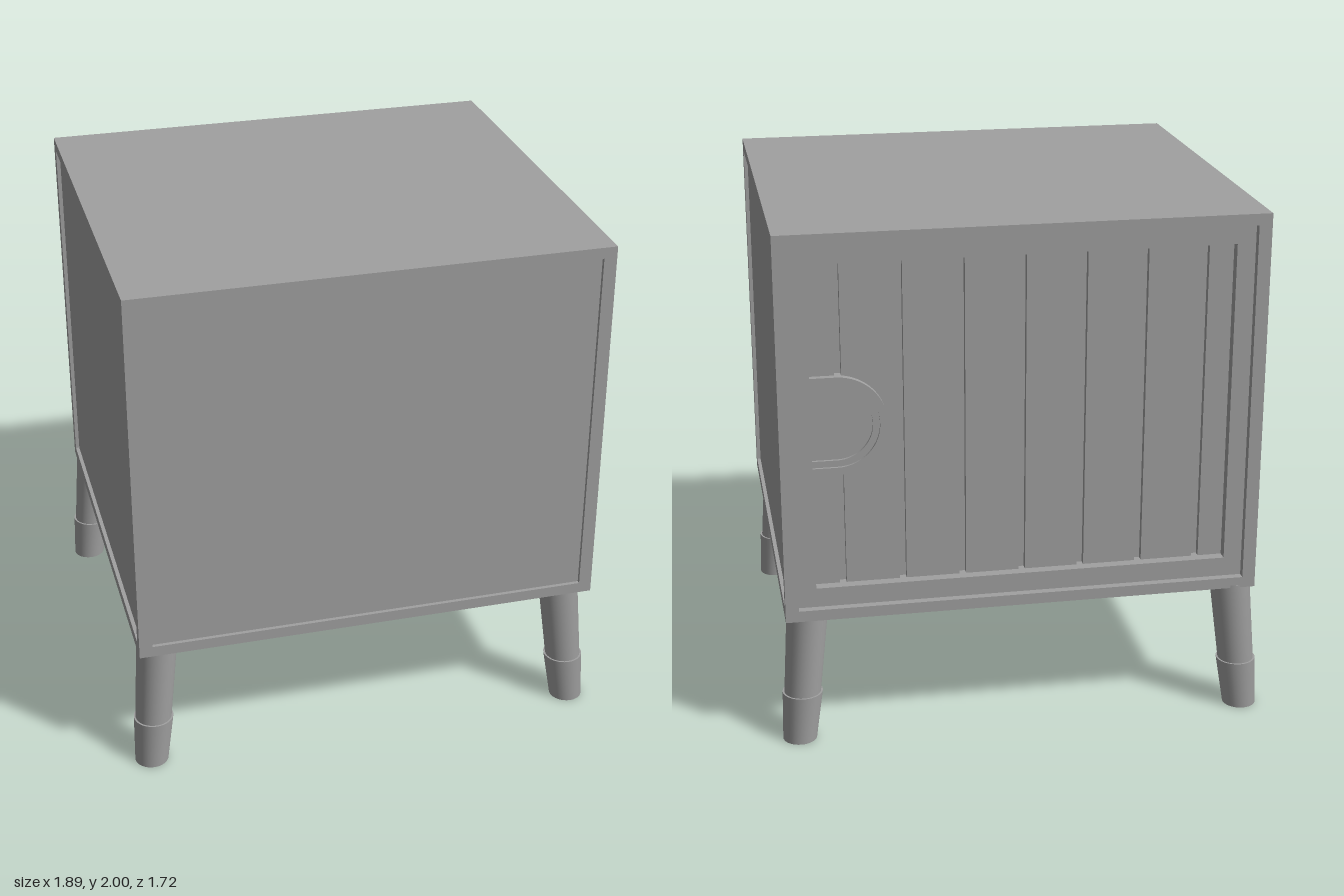
import * as THREE from 'three';

const W = 1.82, D = 1.64, Y0 = 0.51, Y1 = 2;   // cabinet body
const SLAB = 0.043, POST_X = 0.05, POST_Z = 0.045, RECESS = 0.015;

export function createModel() {
  const model = new THREE.Group();
  model.name = 'cabinet';
  const grey = new THREE.MeshStandardMaterial({ color: 0xa0a0a0 });
  grey.name = 'grey';

  const body = new THREE.Group();
  body.name = 'body';
  body.position.set(0.011, 0, -0.004);
  body.rotation.y = 0.0225;
  model.add(body);

  const add = (parent, name, geometry) => {
    const mesh = new THREE.Mesh(geometry, grey);
    mesh.name = name;
    parent.add(mesh);
    return mesh;
  };
  const box = (name, x0, x1, y0, y1, z0, z1) =>
    add(body, name, new THREE.BoxGeometry(x1 - x0, y1 - y0, z1 - z0))
      .position.set((x0 + x1) / 2, (y0 + y1) / 2, (z0 + z1) / 2);

  const hx = W / 2, hz = D / 2, low = Y0 + SLAB, high = Y1 - SLAB;
  const ix = hx - POST_X, back = -hz;

  // Outer shell: top, bottom, corner posts and recessed panels
  box('top', -hx, hx, high, Y1, -hz, hz);
  box('bottom', -hx, hx, Y0, low, -hz, hz);
  for (const sx of [-1, 1]) {
    for (const sz of [-1, 1]) {
      const x = sx * (hx - POST_X / 2), z = sz * (hz - POST_Z / 2);
      box('cornerPost', x - POST_X / 2, x + POST_X / 2, low, high, z - POST_Z / 2, z + POST_Z / 2);
    }
    const px = sx * (hx - RECESS - 0.0175);
    box('sidePanel', px - 0.0175, px + 0.0175, low, high, -hz + POST_Z, hz - POST_Z);
  }
  box('frontPanel', -ix, ix, low, high, hz - 0.05, hz - RECESS);

  // Door set into the back: backing, rails, stiles and vertical slats
  const railFace = back + 0.03, slatFace = back + 0.07, backing = back + 0.095;
  const railLow = low + 0.075, railHigh = high - 0.075, stile = 0.07;
  box('doorBacking', -ix, ix, low, high, backing, backing + 0.02);
  box('doorTopRail', -ix, ix, railHigh, high, railFace, backing);
  box('doorBottomRail', -ix, ix, low, railLow, railFace, backing);
  for (const s of [-1, 1]) {
    const x = s * (ix - stile / 2);
    box('doorStile', x - stile / 2, x + stile / 2, railLow, railHigh, railFace, backing);
  }
  const pitch = 0.228, gap = 0.026;
  for (let i = -4; i < 4; i++) {
    const x0 = Math.max(i * pitch + gap / 2, -ix + stile);
    const x1 = Math.min((i + 1) * pitch - gap / 2, ix - stile);
    box('doorSlat', x0, x1, railLow, railHigh, slatFace, backing);
  }

  // D-shaped pull: two stepped rims around a flat plate
  const flat = 0.095;
  const pullShape = (R, r) => {
    const s = new THREE.Shape();
    s.moveTo(flat, R);
    s.lineTo(0, R);
    s.absarc(0, 0, R, Math.PI / 2, Math.PI * 1.5, false);
    s.lineTo(flat, -R);
    if (r > 0) {
      s.lineTo(flat, -r);
      s.lineTo(0, -r);
      s.absarc(0, 0, r, Math.PI * 1.5, Math.PI / 2, true);
      s.lineTo(flat, r);
    }
    s.closePath();
    return s;
  };
  const pull = (name, R, r, face) => {
    const geometry = new THREE.ExtrudeGeometry(pullShape(R, r),
      { depth: backing - face, bevelEnabled: false, curveSegments: 24 });
    add(body, name, geometry).position.set(ix - stile - flat, 1.262, face);
  };
  pull('handleOuterRim', 0.19, 0.16, back + 0.045);
  pull('handleInnerRim', 0.16, 0.135, back + 0.055);
  pull('handlePlate', 0.135, 0, back + 0.066);

  // Splayed legs: a tapered shaft above a wider foot
  const leaning = (rTop, rBottom, y0, y1, dx, dz) => {
    const g = new THREE.CylinderGeometry(rTop, rBottom, y1 - y0, 32);
    g.translate(0, (y0 + y1) / 2, 0);
    const p = g.attributes.position;
    for (let i = 0; i < p.count; i++) {
      const t = p.getY(i) - 0.19;
      p.setX(i, p.getX(i) + dx * t);
      p.setZ(i, p.getZ(i) + dz * t);
    }
    return g;
  };
  const feet = [[-0.83, 0.773], [0.861, 0.742], [-0.867, -0.758], [0.846, -0.778]];
  for (const [x, z] of feet) {
    const leg = new THREE.Group();
    leg.name = 'leg';
    leg.position.set(x, 0, z);
    const dx = -Math.sign(x) * 0.09, dz = -Math.sign(z) * 0.09;
    add(leg, 'legShaft', leaning(0.079, 0.07, 0.185, 0.52, dx, dz));
    add(leg, 'legFoot', leaning(0.077, 0.065, 0, 0.19, dx, dz));
    model.add(leg);
  }
  return model;
}
